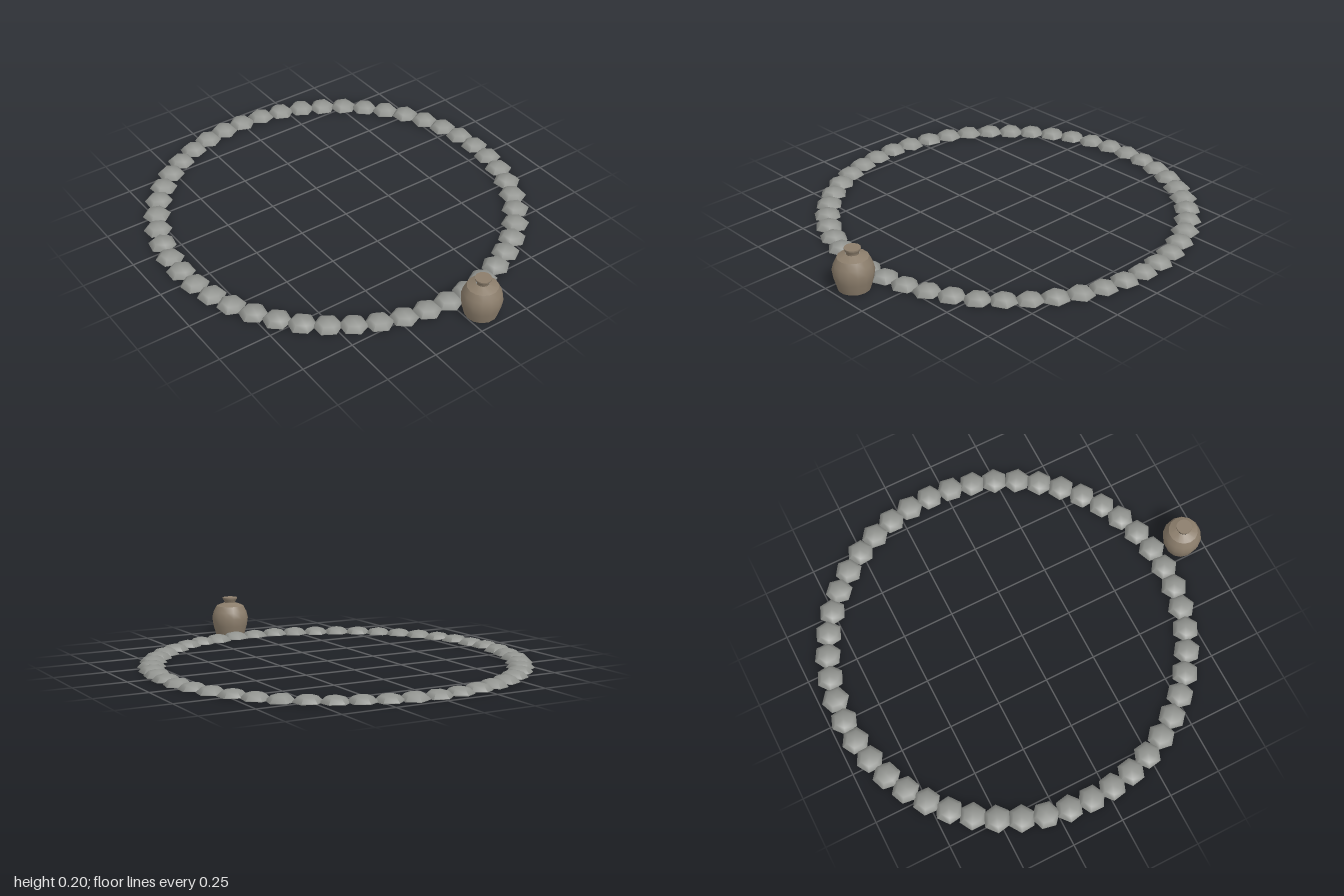
import * as THREE from 'three';
import { toCreasedNormals } from 'three/addons/utils/BufferGeometryUtils.js';

// Lathe around y from [radius, height] pairs
function turned(points, sides, crease) {
  const geo = new THREE.LatheGeometry(points.map(([r, y]) => new THREE.Vector2(r, y)), sides);
  return toCreasedNormals(geo, crease);
}

export function createModel() {
  const group = new THREE.Group();
  const stone = new THREE.MeshStandardMaterial({ color: 0x929490 });
  stone.name = 'greyStone';
  const clay = new THREE.MeshStandardMaterial({ color: 0x8b7d6b });
  clay.name = 'brownClay';

  let seed = 11;
  const jitter = (amount) => {
    seed = (seed * 16807) % 2147483647;
    return (seed / 2147483647 - 0.5) * 2 * amount;
  };

  // Ring of low six-sided stones
  const ring = new THREE.Group();
  ring.name = 'stoneRing';
  ring.position.x = -0.08;
  const stoneGeo = turned([[0, 0], [0.066, 0], [0.066, 0.003], [0.043, 0.025], [0, 0.034]], 6, 1.1);
  stoneGeo.rotateY(Math.PI / 6); // corners point along x
  const count = 48;
  for (let i = 0; i < count; i++) {
    const a = (i / count) * Math.PI * 2;
    const mesh = new THREE.Mesh(stoneGeo, stone);
    mesh.name = 'ringStone';
    mesh.position.set(Math.cos(a) * 0.85, 0.003 + jitter(0.001), Math.sin(a) * 0.85);
    mesh.rotation.set(jitter(0.03), jitter(0.2), jitter(0.03));
    ring.add(mesh);
  }
  group.add(ring);

  // Clay jar beside the ring
  const jar = new THREE.Group();
  jar.name = 'jar';
  jar.position.set(0.902, 0, -0.075);
  const body = new THREE.Mesh(
    turned([[0, 0], [0.073, 0], [0.087, 0.05], [0.093, 0.09], [0.085, 0.122], [0.07, 0.152], [0.03, 0.168]], 14, 0.6), clay);
  body.name = 'jarBody';
  const neck = new THREE.Mesh(
    turned([[0.027, 0.163], [0.028, 0.174], [0.037, 0.188], [0.037, 0.195], [0, 0.195]], 14, 0.6), clay);
  neck.name = 'jarNeck';
  jar.add(body, neck);
  group.add(jar);

  return group;
}
